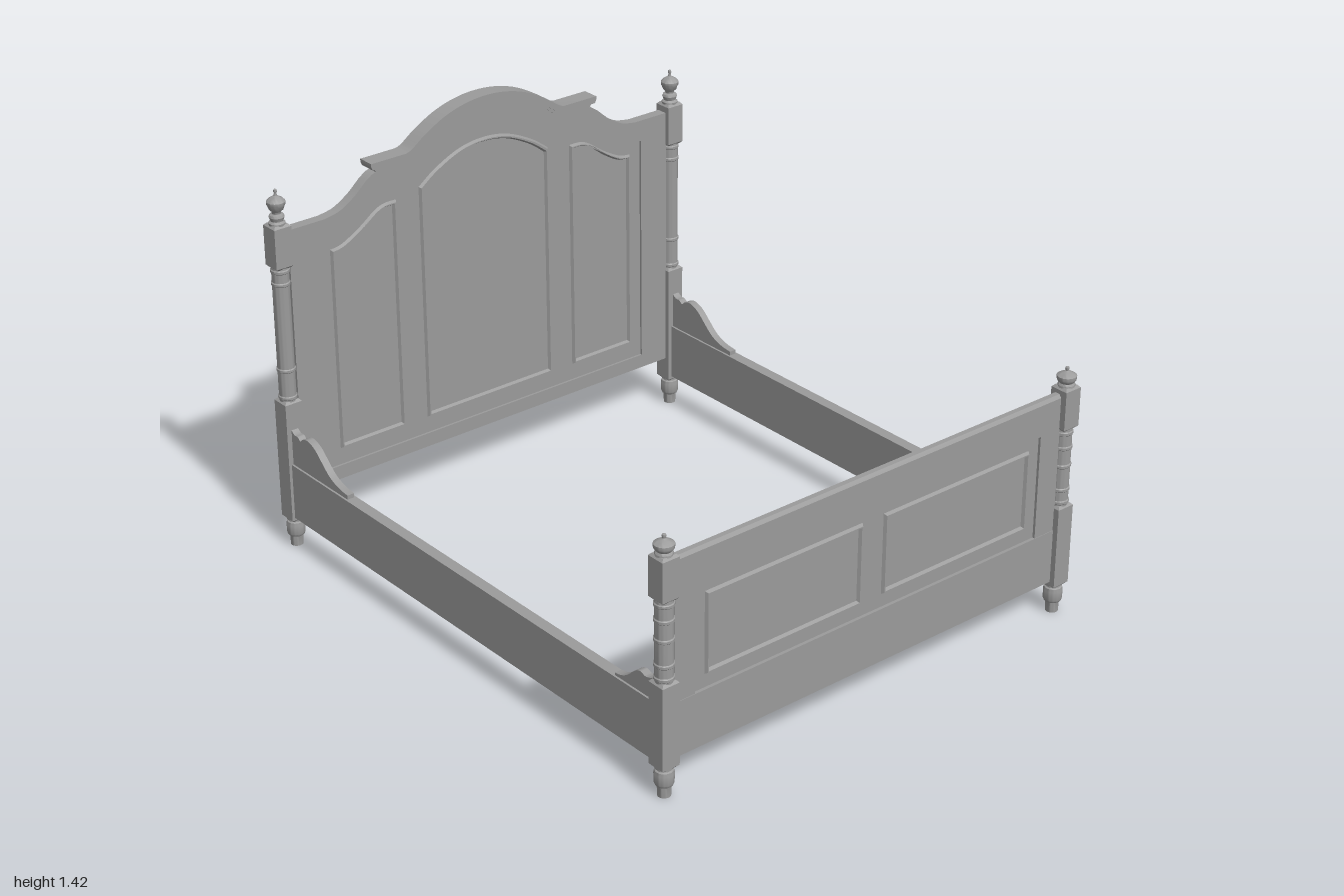
import * as THREE from 'three';
import { toCreasedNormals } from 'three/addons/utils/BufferGeometryUtils.js';

const material = new THREE.MeshStandardMaterial({ color: 0x9b9b9b });
const V = (p) => new THREE.Vector2(p[0], p[1]);

function add(parent, name, geometry, x = 0, y = 0, z = 0) {
  const mesh = new THREE.Mesh(geometry, material);
  mesh.name = name;
  mesh.position.set(x, y, z);
  parent.add(mesh);
  return mesh;
}

const box = (parent, name, x0, x1, y0, y1, z0, z1) =>
  add(parent, name, new THREE.BoxGeometry(x1 - x0, y1 - y0, z1 - z0), (x0 + x1) / 2, (y0 + y1) / 2, (z0 + z1) / 2);

const rect = (x0, x1, y0, y1) => [[x0, y0], [x1, y0], [x1, y1], [x0, y1]].map(V);
const spline = (pts, n = 32) => new THREE.SplineCurve(pts.map(V)).getPoints(n);
const mirror = (pts) => pts.map(([x, y]) => [-x, y]);
const flip = (pts) => mirror(pts).reverse();
// Smooth arch from right to left, given its right half ending at x = 0
const arch = (half) => spline([...half, ...flip(half).slice(1)], 48);

// Symmetric outline: straight sides below an arch
const arched = (sides, half) => [...sides.map(V), ...arch(half), ...flip(sides).map(V)];

// Flat board between two z values, with optional holes
function board(parent, name, outline, z0, z1, holes = []) {
  const shape = new THREE.Shape(outline);
  shape.holes = holes.map((h) => new THREE.Path(h));
  const geo = new THREE.ExtrudeGeometry(shape, { depth: z1 - z0, bevelEnabled: false });
  return add(parent, name, toCreasedNormals(geo, 0.5), 0, 0, z0);
}

// Shrinks an outline by t on every side of its bounding box
function inset(outline, t) {
  const b = new THREE.Box2().setFromPoints(outline);
  const c = b.getCenter(new THREE.Vector2());
  const s = b.getSize(new THREE.Vector2());
  const k = new THREE.Vector2(1 - (2 * t) / s.x, 1 - (2 * t) / s.y);
  return outline.map((p) => p.clone().sub(c).multiply(k).add(c));
}

// Raised moulding with sloping sides around a panel
function panelMoulding(parent, name, outline, z) {
  const shape = new THREE.Shape(outline);
  shape.holes = [new THREE.Path(inset(outline, 0.016))];
  const geo = new THREE.ExtrudeGeometry(shape, { depth: 0.002, bevelEnabled: true,
    bevelSize: 0.006, bevelOffset: -0.006, bevelThickness: 0.01, bevelSegments: 1 });
  add(parent, name, toCreasedNormals(geo, 0.5), 0, 0, z - 0.002);
}

// Square block of a post with chamfered ends
function block(parent, name, y0, y1) {
  const c = 0.008, h = 0.0325 - c;
  const geo = new THREE.ExtrudeGeometry(new THREE.Shape(rect(-h, h, -h, h)),
    { depth: y1 - y0 - 2 * c, bevelEnabled: true, bevelSize: c, bevelThickness: c, bevelSegments: 1 });
  geo.rotateX(-Math.PI / 2);
  add(parent, name, geo, 0, y0 + c, 0);
}

const turned = (parent, name, pts, y = 0) =>
  add(parent, name, toCreasedNormals(new THREE.LatheGeometry(pts.map(V), 28), 0.7), 0, y, 0);

const FOOT = [[0, 0], [0.021, 0], [0.022, 0.036], [0.028, 0.04], [0.031, 0.048], [0.032, 0.08],
  [0.029, 0.09], [0.024, 0.093], [0.024, 0.098], [0.03, 0.1], [0.03, 0.115]];
const TALL_FINIAL = [[0.028, -0.01], [0.028, 0.004], [0.021, 0.01], [0.024, 0.018], [0.026, 0.024], [0.023, 0.031],
  [0.015, 0.035], [0.016, 0.042], [0.024, 0.05], [0.028, 0.062], [0.031, 0.067], [0.031, 0.077], [0.024, 0.085],
  [0.013, 0.092], [0.006, 0.096], [0.004, 0.105], [0.006, 0.11], [0.005, 0.117], [0, 0.12]];
const SHORT_FINIAL = [[0.028, -0.01], [0.028, 0.004], [0.023, 0.01], [0.03, 0.018], [0.032, 0.024], [0.032, 0.034],
  [0.021, 0.041], [0.01, 0.046], [0.005, 0.05], [0.007, 0.056], [0.006, 0.062], [0, 0.065]];

// Turned shaft with slim rings at the given heights
function shaft(parent, y0, y1, rings) {
  const pts = [[0.028, y0 - 0.01]];
  for (const y of rings) pts.push([0.029, y - 0.007], [0.032, y - 0.004], [0.032, y + 0.004], [0.029, y + 0.007]);
  pts.push([0.028, y1 + 0.01]);
  turned(parent, 'turnedShaft', pts);
}

function post(name, low, high, top, rings, finial) {
  const g = new THREE.Group();
  g.name = name;
  turned(g, 'foot', FOOT);
  block(g, 'lowerBlock', 0.1, low);
  shaft(g, low, high, rings);
  block(g, 'upperBlock', high, top);
  turned(g, 'finial', finial, top);
  return g;
}

function headboard() {
  const g = new THREE.Group();
  g.name = 'headboard';
  const outline = arched([[0.79, 0.19], [0.79, 1.15]],
    [[0.65, 1.15], [0.59, 1.162], [0.53, 1.197], [0.45, 1.258], [0.33, 1.275], [0.25, 1.33], [0.13, 1.385], [0, 1.402]]);
  const shoulder = spline([[0.676, 1.074], [0.61, 1.08], [0.54, 1.105], [0.46, 1.148], [0.4, 1.175], [0.35, 1.183]], 20);
  const recess = arched([[0.676, 0.24], ...shoulder.map((p) => [p.x, p.y])],
    [[0.31, 1.184], [0.24, 1.222], [0.13, 1.285], [0, 1.312]]);
  board(g, 'headboardBack', outline, -0.99, -0.96);
  board(g, 'headboardFrame', outline, -0.96, -0.952, [recess]);

  // Centre panel with an arched top, and a pair of side panels
  const centre = arched([[0.27, 0.3]], [[0.27, 1.156], [0.2, 1.205], [0.1, 1.25], [0, 1.264]]);
  panelMoulding(g, 'centrePanel', centre, -0.96);
  const top = spline([[0.63, 1.033], [0.585, 1.04], [0.515, 1.077], [0.45, 1.122], [0.41, 1.137], [0.363, 1.138]], 24);
  const side = [V([0.363, 0.3]), V([0.63, 0.3]), ...top];
  panelMoulding(g, 'leftPanel', side, -0.96);
  panelMoulding(g, 'rightPanel', side.map((p) => V([-p.x, p.y])).reverse(), -0.96);

  // Crown moulding in stepped layers, following the arch
  const upper = [[0.33, 1.298], [0.305, 1.307], [0.25, 1.345], [0.17, 1.387], [0.085, 1.412], [0, 1.42]];
  const crown = (endX, drop, lip) => {
    const ends = [[endX, 1.298], [endX, 1.286], [endX - lip, 1.298 - drop]];
    const under = arch(upper.map(([x, y]) => [x * 0.985, y - drop])).reverse();
    return [...mirror(ends).map(V), ...under, ...[...ends].reverse().map(V), ...arch(upper)];
  };
  board(g, 'crownCore', crown(0.458, 0.036, 0.012), -0.998, -0.945);
  board(g, 'crownLip', crown(0.468, 0.024, 0.006), -1.0, -0.938);
  return g;
}

function footboard() {
  const g = new THREE.Group();
  g.name = 'footboard';
  const face = rect(-0.79, 0.79, 0.3, 0.787);
  const hole = rect(-0.712, 0.705, 0.312, 0.677);
  box(g, 'footboardCore', -0.79, 0.79, 0.3, 0.787, 0.954, 0.97);
  board(g, 'frontFrame', face, 0.97, 0.979, [hole]);
  board(g, 'backFrame', face, 0.945, 0.954, [hole]);
  box(g, 'lowerBeam', -0.79, 0.79, 0.122, 0.312, 0.943, 0.981);

  // Top edge with chamfered corners
  const section = [[-0.979, 0.787], [-0.945, 0.787], [-0.953, 0.798], [-0.971, 0.798]].map(V);
  const cap = new THREE.ExtrudeGeometry(new THREE.Shape(section), { depth: 1.58, bevelEnabled: false });
  add(g, 'topEdge', cap.rotateY(Math.PI / 2), -0.79);

  panelMoulding(g, 'rightPanel', rect(-0.669, -0.048, 0.358, 0.639), 0.97);
  panelMoulding(g, 'leftPanel', rect(0.039, 0.662, 0.358, 0.639), 0.97);
  return g;
}

// Side rail with scrolled brackets at both ends
function sideRail(name) {
  const g = new THREE.Group();
  g.name = name;
  box(g, 'rail', -0.02, 0.02, 0.118, 0.32, -0.945, 0.945);
  const scroll = (part, pts) => {
    const end = pts[pts.length - 1][0], start = pts[0][0];
    const shape = new THREE.Shape([V([end, 0.3]), V([start, 0.3]), ...spline(pts, 40)]);
    const geo = new THREE.ExtrudeGeometry(shape, { depth: 0.026, bevelEnabled: false });
    geo.translate(0, 0, -0.013).rotateY(-Math.PI / 2);
    add(g, part, toCreasedNormals(geo, 0.5));
  };
  scroll('headScroll', [[-0.62, 0.335], [-0.67, 0.342], [-0.72, 0.362], [-0.765, 0.4], [-0.8, 0.43], [-0.84, 0.445],
    [-0.87, 0.438], [-0.885, 0.426], [-0.9, 0.436], [-0.92, 0.437], [-0.945, 0.455]]);
  scroll('footScroll', [[0.76, 0.328], [0.79, 0.334], [0.82, 0.35], [0.85, 0.378], [0.875, 0.39], [0.9, 0.384],
    [0.92, 0.388], [0.945, 0.4]]);
  return g;
}

export function createModel() {
  const model = new THREE.Group();
  model.name = 'bed';
  model.add(headboard(), footboard());
  for (const [side, s] of [['left', 1], ['right', -1]]) {
    const back = post(side + 'HeadPost', 0.55, 1.025, 1.18, [0.56, 0.66, 0.97, 1.015], TALL_FINIAL);
    back.position.set(s * 0.82, 0, -0.9675);
    const front = post(side + 'FootPost', 0.4, 0.67, 0.82, [0.41, 0.455, 0.54, 0.605, 0.657], SHORT_FINIAL);
    front.position.set(s * 0.82, 0, 0.9675);
    const rail = sideRail(side + 'SideRail');
    rail.position.x = s * 0.822;
    model.add(back, front, rail);
  }
  return model;
}
